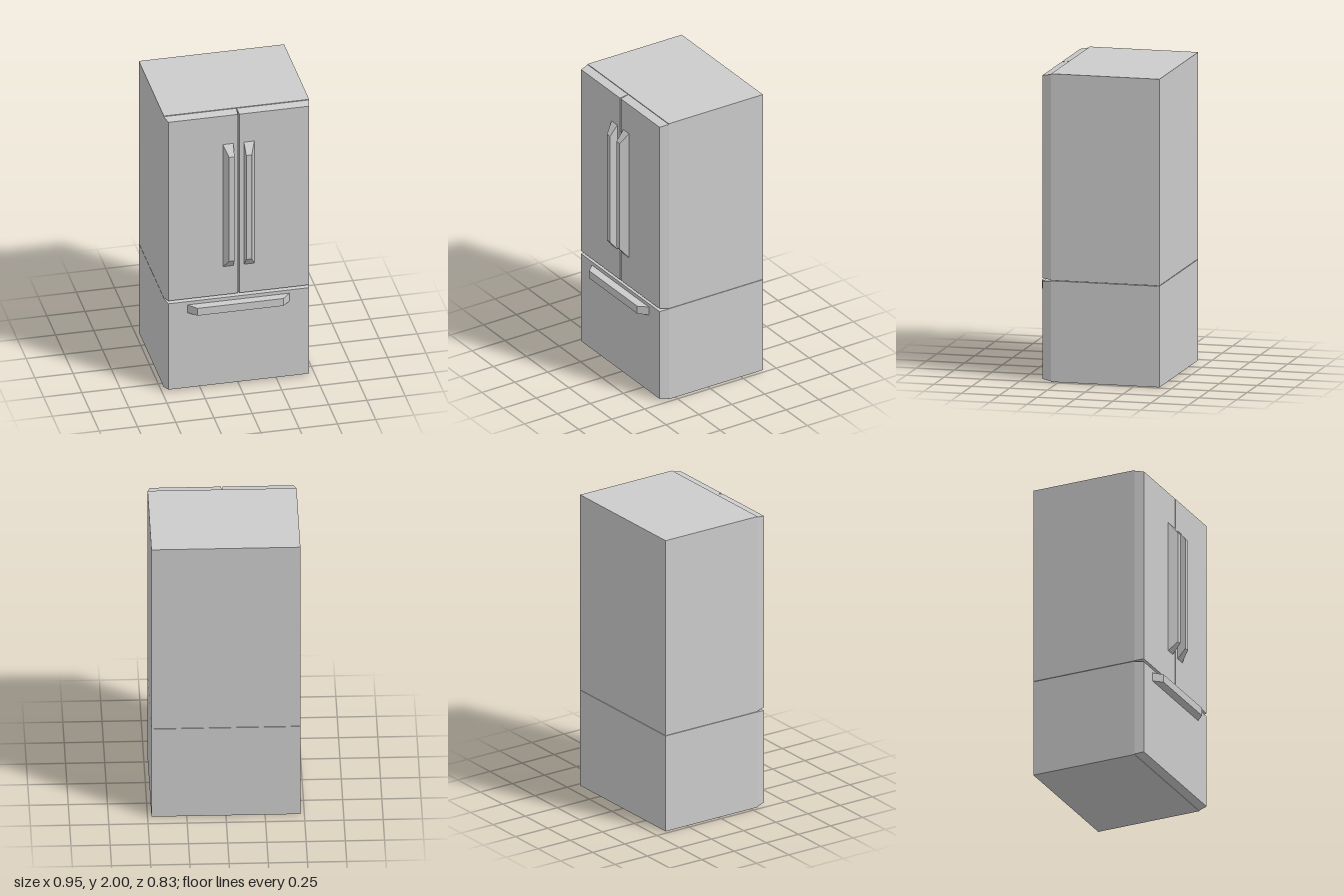
import * as THREE from 'three';

const material = new THREE.MeshStandardMaterial({ color: 0xcccccc, flatShading: true });

// Box tapering from a back rectangle to a front one; rectangles are [x0, x1, y0, y1]
function taperedBox(name, back, zBack, front, zFront) {
  const geometry = new THREE.BoxGeometry(1, 1, 1);
  const p = geometry.attributes.position;
  for (let i = 0; i < p.count; i++) {
    const isFront = p.getZ(i) > 0;
    const r = isFront ? front : back;
    p.setXYZ(i, r[p.getX(i) > 0 ? 1 : 0], r[p.getY(i) > 0 ? 3 : 2], isFront ? zFront : zBack);
  }
  geometry.computeVertexNormals();
  const mesh = new THREE.Mesh(geometry, material);
  mesh.name = name;
  return mesh;
}

// Swap a rectangle to the other side of x = 0
const flip = ([x0, x1, y0, y1]) => [-x1, -x0, y0, y1];

export function createModel() {
  const group = new THREE.Group();
  group.name = 'refrigerator';
  const zBack = -0.415, zBody = 0.3, zDoor = 0.36, zHandle = 0.414;

  // Cabinet: lower freezer and upper compartment with a hairline seam
  const lower = [-0.475, 0.475, 0, 0.656];
  const upper = [-0.475, 0.475, 0.659, 2];
  group.add(taperedBox('freezerCabinet', lower, zBack, lower, zBody));
  group.add(taperedBox('upperCabinet', upper, zBack, upper, zBody));

  // French doors with chamfered edges, and their handles
  for (const [side, place] of [['left', r => r], ['right', flip]]) {
    group.add(taperedBox(side + 'Door',
      place([0.001, 0.475, 0.661, 1.995]), zBody,
      place([0.005, 0.459, 0.668, 1.985]), zDoor));
    group.add(taperedBox(side + 'DoorHandle',
      place([0.035, 0.103, 0.875, 1.775]), zDoor,
      place([0.038, 0.074, 0.94, 1.707]), zHandle));
  }

  // Freezer drawer and its horizontal handle
  group.add(taperedBox('freezerDrawer',
    [-0.475, 0.475, 0.004, 0.655], zBody,
    [-0.459, 0.459, 0.014, 0.647], zDoor));
  group.add(taperedBox('drawerHandle',
    [-0.333, 0.333, 0.565, 0.623], zDoor,
    [-0.281, 0.281, 0.567, 0.621], zHandle));

  return group;
}
